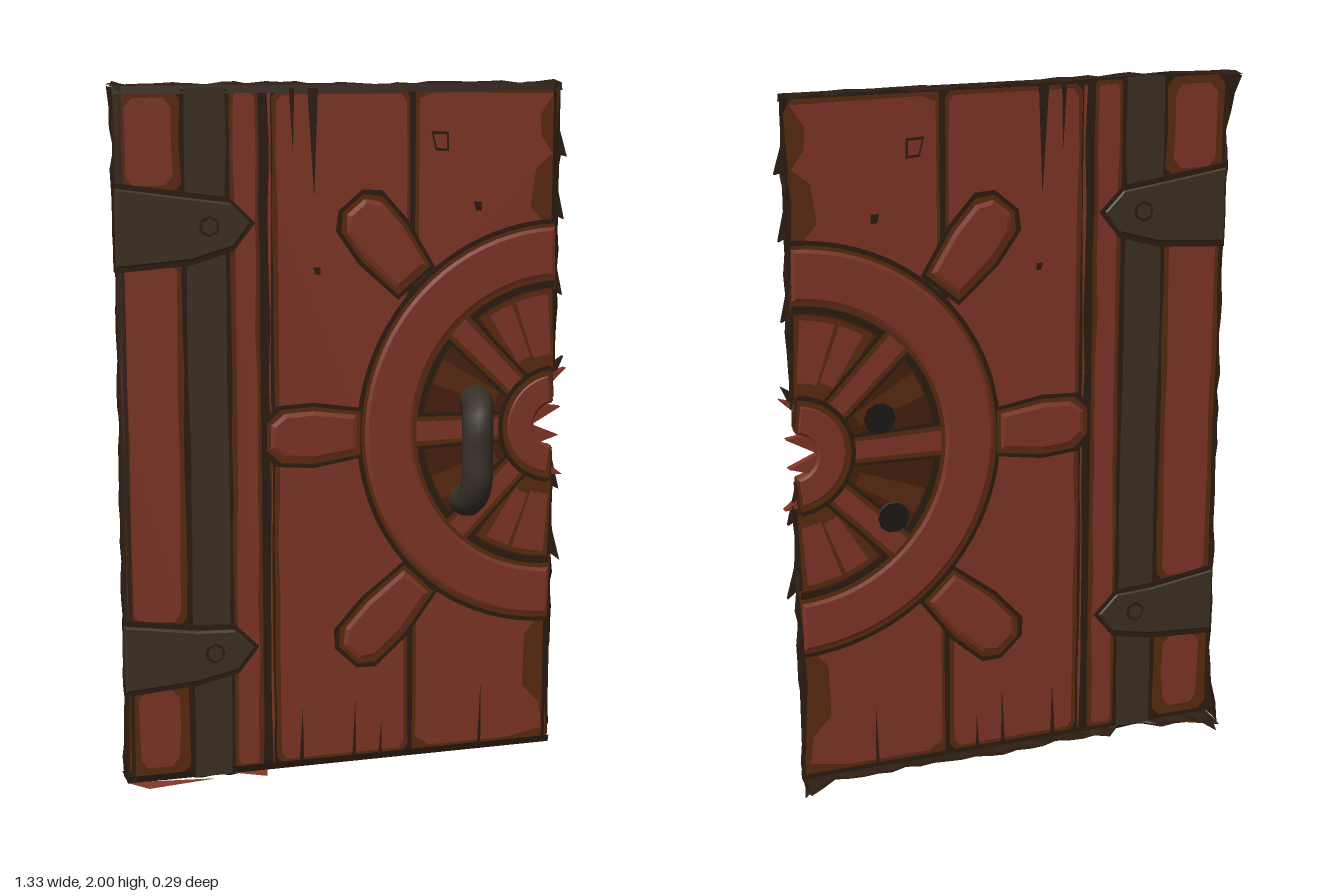
import * as THREE from 'three';

const mat = (name, color, double) => {
  const m = new THREE.MeshStandardMaterial({ color, flatShading: true });
  m.name = name;
  if (double) m.side = THREE.DoubleSide;
  return m;
};

export function createModel() {
  const door = new THREE.Group();
  door.name = 'door';
  const red = mat('redWood', 0x7f3526, true);
  const worn = mat('wornEdge', 0x5a2a10, true);
  const inner = mat('wheelShade', 0x47200e);
  const dark = mat('darkGroove', 0x2d1c11, true);
  const iron = mat('iron', 0x3e3023);
  const steel = mat('handleIron', 0x393129);
  steel.flatShading = false;
  const hollow = mat('hollow', 0x1c1814);
  const Z = -0.02, CX = 0.63, CY = 1;

  let seed = 7;
  const rnd = () => (seed = (seed * 16807) % 2147483647) / 2147483647;
  const add = (name, geo, m) => {
    const mesh = new THREE.Mesh(geo, m);
    mesh.name = name;
    door.add(mesh);
    return mesh;
  };
  const poly = pts => new THREE.Shape(pts.map(p => new THREE.Vector2(p[0], p[1])));

  // Plate from zBack to zFront, optionally bevelled inwards
  const slab = (name, shape, m, z0, z1, bevel = 0) => {
    const t = bevel ? 0.005 : 0;
    const geo = new THREE.ExtrudeGeometry(shape, {
      depth: z1 - z0 - 2 * t, bevelEnabled: bevel > 0, bevelSize: bevel,
      bevelThickness: t, bevelOffset: -bevel, bevelSegments: 1, curveSegments: 20,
    });
    return add(name, geo.translate(0, 0, z0 + t), m);
  };
  // Plate showing equally on both faces of the door
  const plate = (name, shape, m, half, bevel) => slab(name, shape, m, Z - half, Z + half, bevel);

  // Box outline with cut corners and slightly wavy sides
  const plankShape = (x0, x1, y0, y1, c) => {
    const n = Math.max(2, Math.round((y1 - y0) / 0.16)), pts = [[x0 + c, y0], [x1 - c, y0]];
    for (let i = 0; i <= n; i++) pts.push([x1 - rnd() * 0.007, y0 + c + (y1 - y0 - 2 * c) * i / n]);
    pts.push([x1 - c, y1], [x0 + c, y1]);
    for (let i = n; i >= 0; i--) pts.push([x0 + rnd() * 0.007, y0 + c + (y1 - y0 - 2 * c) * i / n]);
    return poly(pts);
  };
  const plank = (name, x0, x1, y0, y1, c = 0.02, d = 0.012) => {
    plate(name + 'Edge', plankShape(x0, x1, y0, y1, c), worn, 0.009);
    plate(name, plankShape(x0 + d, x1 - d, y0 + d, y1 - d, c), red, 0.012);
  };

  // Part of a ring around the wheel centre, angles in degrees
  const ring = (r0, r1, a0, a1) => {
    const s = new THREE.Shape(), k = Math.PI / 180;
    s.absarc(CX, CY, r1, a0 * k, a1 * k, false);
    s.absarc(CX, CY, r0, a1 * k, a0 * k, true);
    return s;
  };

  // Backing, with a broken notch at the hub
  plate('backing', poly([[-0.655, 0.012], [0.632, 0.012], [0.625, 0.3], [0.632, 0.6], [0.625, 0.87],
    [0.57, 0.92], [0.56, 1.08], [0.625, 1.13], [0.632, 1.5], [0.615, 1.75], [0.632, 1.988],
    [-0.655, 1.988]]), dark, 0.006);

  // Planks
  plank('hingePlankTop', -0.65, -0.47, 1.7, 1.98, 0.025, 0.022);
  plank('hingePlankMiddle', -0.65, -0.47, 0.47, 1.53, 0.025, 0.016);
  plank('hingePlankBottom', -0.65, -0.47, 0.025, 0.31, 0.025, 0.028);
  plank('narrowPlank', -0.34, -0.25, 0.025, 1.98, 0.01);
  plank('wornStrip', -0.228, -0.222, 0.03, 1.97, 0.001, 0.001);
  plank('middlePlank', -0.218, 0.188, 0.028, 1.975);
  const edgePlank = (name, y0, y1) => {
    plate(name + 'Edge', poly([[0.2, y0], [0.628, y0], [0.612, (y0 + y1) / 2], [0.628, y1], [0.2, y1]]), worn, 0.009);
  };
  edgePlank('lowerEdgePlank', 0.028, 0.6);
  edgePlank('upperEdgePlank', 1.4, 1.975);
  plate('lowerEdgePlank', poly([[0.21, 0.07], [0.25, 0.04], [0.5, 0.04], [0.61, 0.06], [0.6, 0.14],
    [0.545, 0.2], [0.55, 0.36], [0.6, 0.42], [0.61, 0.6], [0.21, 0.6]]), red, 0.012);
  plate('upperEdgePlank', poly([[0.21, 1.4], [0.6, 1.4], [0.6, 1.58], [0.545, 1.64], [0.56, 1.75],
    [0.61, 1.79], [0.575, 1.84], [0.57, 1.9], [0.61, 1.96], [0.25, 1.965], [0.21, 1.95]]), red, 0.012);

  // Cracks: x, wide end y, tip y, width
  [[-0.1, 1.98, 1.68, 0.03], [-0.16, 1.98, 1.8, 0.015], [0.41, 0.03, 0.22, 0.01], [0.02, 0.03, 0.2, 0.012],
    [-0.14, 0.03, 0.19, 0.014], [0.1, 0.03, 0.13, 0.01]].forEach(([x, y0, y1, w]) =>
    plate('crack', poly([[x - w / 2, y0], [x + w / 2, y0], [x + 0.003, y1]]), dark, 0.0128));
  // Small knots in the wood
  [[0.27, 1.83, 0.026], [0.385, 1.645, 0.012], [-0.09, 1.475, 0.01], [-0.06, 0.95, 0.006]].forEach(([x, y, r]) => {
    const k = (s, w) => poly([[x - w, y + s], [x + w, y + s * 0.9], [x + w, y - s], [x - w * 0.5, y - s * 0.9]]);
    plate('knotRing', k(r * 1.1, r), dark, 0.0128);
    if (r > 0.02) plate('knot', k(r * 0.8, r * 0.75), red, 0.0136);
  });

  // Wheel handles: capsules in three nested layers
  const knob = (x, y, length, angle) => {
    const c = Math.cos(angle), s = Math.sin(angle);
    const shape = d => {
      const L = length / 2 - d, w = 0.085 - d;
      return poly([[-L, -w * 0.45], [-L + 0.04, -w * 0.9], [0, -w], [L, -w * 0.75], [L, w * 0.75],
        [0, w], [-L + 0.04, w * 0.95], [-L, w * 0.5]].map(([u, v]) => [x + u * c - v * s, y + u * s + v * c]));
    };
    plate('wheelHandleGroove', shape(-0.01), dark, 0.0134);
    plate('wheelHandleEdge', shape(0.002), worn, 0.0145);
    plate('wheelHandle', shape(0.014), red, 0.02, 0.012);
  };
  knob(-0.1, 1.005, 0.28, 0);
  knob(0.105, 1.55, 0.29, -0.88);
  knob(0.11, 0.45, 0.31, 0.8);

  // Half wheel: groove, rim, interior and spokes
  plate('wheelGroove', ring(0.405, 0.603, 91, 269), dark, 0.014);
  plate('wheelRimEdge', ring(0.425, 0.59, 91, 269), worn, 0.016);
  plate('wheelRim', ring(0.437, 0.58, 91, 269), red, 0.021, 0.01);
  plate('wheelInterior', ring(0.08, 0.408, 92, 268), inner, 0.013);
  [1, -1].forEach(side => {
    const sector = (name, r0, r1, a, b, m, half) =>
      plate(name, side > 0 ? ring(r0, r1, a, b) : ring(r0, r1, 360 - b, 360 - a), m, half);
    sector('innerPlankEdge', 0.17, 0.4, 92, 126, worn, 0.0138);
    sector('innerPlank', 0.21, 0.385, 94, 109, red, 0.0145);
    sector('innerPlank', 0.22, 0.385, 111, 122, red, 0.0145);
    sector('shadedPlank', 0.2, 0.4, 149, 160, worn, 0.0138);
  });
  [135, 180, 225].forEach(deg => {
    const a = deg * Math.PI / 180, c = Math.cos(a), s = Math.sin(a);
    const bar = w => poly([[0.13, -w], [0.425, -w * 1.2], [0.425, w * 1.2], [0.13, w]]
      .map(([u, v]) => [CX + u * c - v * s, CY + u * s + v * c]));
    plate('spokeGroove', bar(0.045), dark, 0.0148);
    plate('spokeEdge', bar(0.036), worn, 0.0158);
    plate('spoke', bar(0.024), red, 0.0168);
  });

  // Broken hub with splinters
  plate('hubGroove', ring(0.075, 0.175, 95, 265), dark, 0.0172);
  plate('hubEdge', ring(0.07, 0.162, 95, 265), worn, 0.0182);
  plate('hub', ring(0.065, 0.15, 97, 263), red, 0.021, 0.008);
  [[0.56, 1.1, 0.665, 1.165], [0.55, 1.03, 0.65, 1.05], [0.55, 0.97, 0.645, 0.965], [0.56, 0.89, 0.66, 0.845]]
    .forEach(([x, y, tx, ty]) => plate('splinter', poly([[x, y - 0.035], [tx, ty], [x, y + 0.035]]), red, 0.012));
  [[0.66, 0.58, 0.66], [0.658, 1.2, 1.13], [0.655, 1.78, 1.83], [0.65, 1.6, 1.66], [0.652, 0.8, 0.86], [0.65, 1.38, 1.44]]
    .forEach(([x, y, b]) => plate('edgeSplinter', poly([[0.61, b - 0.04], [x, y], [0.625, b + 0.05]]), dark, 0.007));

  // Iron strap and hinges
  plate('strapGroove', plankShape(-0.472, -0.338, 0.02, 1.98, 0.004), dark, 0.0105);
  plate('strap', plankShape(-0.462, -0.346, 0.012, 1.985, 0.004), iron, 0.013);
  [[1.61, 0.11], [0.39, 0.1]].forEach(([y, h]) => {
    const leaf = d => poly([[-0.658, y - h + d], [-0.45, y - h + 0.015 + d], [-0.33, y - 0.06 + d],
      [-0.28 - d, y + 0.005], [-0.34, y + 0.065 - d], [-0.45, y + h - 0.03 - d], [-0.658, y + h - d]]);
    slab('hingeGroove', leaf(-0.012), dark, -0.036, 0.004);
    slab('hinge', leaf(0.002), iron, -0.04, 0.016, 0.006);
    [-0.041, 0.018].forEach(z => {
      add('rivetRing', new THREE.CylinderGeometry(0.029, 0.029, 0.006, 8).rotateX(Math.PI / 2), dark).position.set(-0.4, y, z);
      add('rivet', new THREE.CylinderGeometry(0.022, 0.022, 0.012, 6).rotateX(Math.PI / 2), iron).position.set(-0.4, y, z);
    });
  });

  // Pull handle with hollow ends
  const path = new THREE.CatmullRomCurve3([[0.385, 1.085, -0.04], [0.375, 1.08, 0.04], [0.358, 1.035, 0.093],
    [0.355, 0.95, 0.1], [0.355, 0.86, 0.098], [0.35, 0.8, 0.05], [0.35, 0.79, -0.04]]
    .map(p => new THREE.Vector3(...p)));
  add('pullHandle', new THREE.TubeGeometry(path, 24, 0.046, 10), steel);
  [[0.385, 1.085], [0.35, 0.79]].forEach(([x, y]) =>
    add('handleHole', new THREE.CircleGeometry(0.046, 10).rotateY(Math.PI), hollow).position.set(x, y, -0.0402));

  // Ragged edges folded towards the back, deeper at the corners
  const fringe = (name, a, b, n, out, depth) => {
    const pos = [], idx = [];
    for (let i = 0; i <= n; i++) {
      const t = i / n, x = a[0] + (b[0] - a[0]) * t, y = a[1] + (b[1] - a[1]) * t, d = depth(t, x);
      [[-0.02, -0.008], [0.002, -0.014], [rnd() * 0.012, -d * 0.6], [rnd() * 0.012 - 0.004, -d * (0.9 + rnd() * 0.2)]]
        .forEach(([o, z]) => pos.push(x + out[0] * o, y + out[1] * o, z));
      if (i < n) for (let k = 0; k < 3; k++) {
        const p = i * 4 + k;
        idx.push(p, p + 4, p + 1, p + 1, p + 4, p + 5);
      }
    }
    const geo = new THREE.BufferGeometry();
    geo.setAttribute('position', new THREE.Float32BufferAttribute(pos, 3));
    geo.setIndex(idx);
    geo.computeVertexNormals();
    add(name, geo, dark);
  };
  const corner = t => Math.max(0, 1 - Math.min(t, 1 - t) / 0.06);
  const flat = (t, x) => (x > -0.47 && x < -0.34 ? 0.04 : 0.07 + 0.055 * corner(t));
  const upright = t => 0.042 + 0.075 * corner(t);
  fringe('topEdge', [-0.655, 1.988], [0.635, 1.988], 30, [0, 1], flat);
  fringe('bottomEdge', [-0.655, 0.012], [0.635, 0.012], 30, [0, -1], flat);
  fringe('rightSideEdge', [-0.652, 0.012], [-0.652, 1.988], 36, [-1, 0], upright);
  fringe('upperLeftSideEdge', [0.63, 1.14], [0.63, 1.988], 16, [1, 0], t => upright(t > 0.5 ? t : 0.5));
  fringe('lowerLeftSideEdge', [0.63, 0.012], [0.63, 0.86], 16, [1, 0], t => upright(t < 0.5 ? t : 0.5));

  // Corner spikes and loose chips under the bottom edge
  const chip = (name, m, ...p) => {
    const geo = new THREE.BufferGeometry();
    geo.setAttribute('position', new THREE.Float32BufferAttribute(p, 3));
    geo.computeVertexNormals();
    add(name, geo, m);
  };
  [0.012, 1.988].forEach(y => {
    chip('cornerSpike', dark, -0.655, y, -0.06, -0.6, y, -0.08, -0.635, y > 1 ? 2 : 0, -0.145);
    chip('cornerSpike', dark, 0.59, y, -0.07, 0.635, y, -0.05, 0.655, y > 1 ? 1.995 : 0.005, -0.125);
  });
  chip('bottomChip', red, -0.66, 0.012, -0.02, -0.4, 0.008, 0.008, -0.6, 0.002, 0.022);
  chip('bottomChip', red, -0.36, 0.012, -0.02, -0.24, 0.012, -0.025, -0.25, 0.002, 0.015);
  return door;
}
